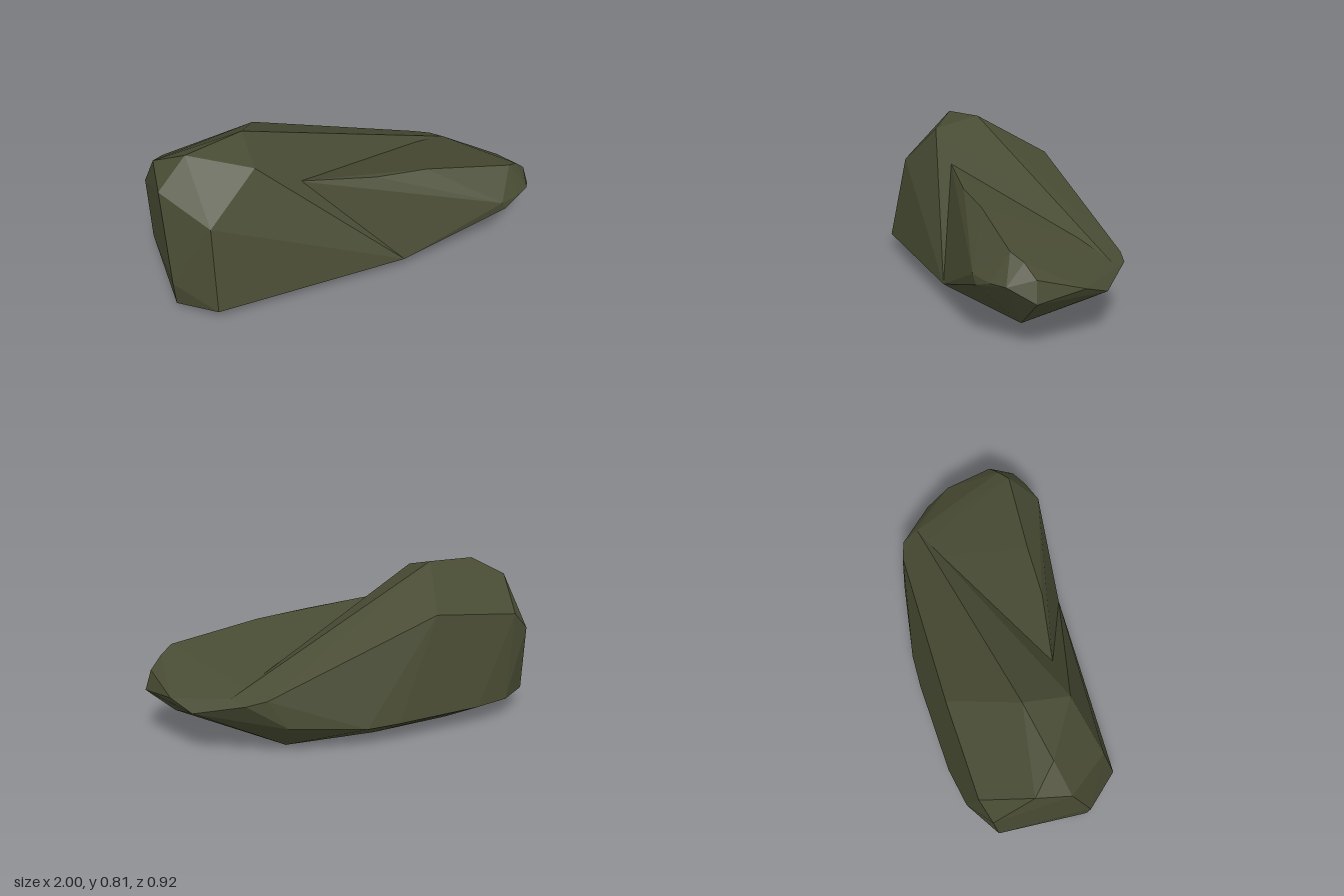
import * as THREE from 'three';
import { ConvexGeometry } from 'three/addons/geometries/ConvexGeometry.js';

const mossyStone = new THREE.MeshStandardMaterial({ color: 0x484b33 });

// faceted lump: the convex skin around a few corner points
function lump(name, corners) {
  const points = corners.map(([x, y, z]) => new THREE.Vector3(x, y, z));
  const mesh = new THREE.Mesh(new ConvexGeometry(points), mossyStone);
  mesh.name = name;
  return mesh;
}

export function createModel() {
  const rock = new THREE.Group();
  rock.name = 'rock';

  // corners common to both lumps
  const shoulder = [-0.32, 0.6, 0.2];
  const backSaddle = [0.74, 0.3, -0.24];
  const backRidgeEnd = [0.6, 0.3, -0.36];
  const underside = [
    [0.45, 0.015, 0.2], [0.45, 0.01, -0.24], [0, 0.03, -0.34],
    [0.18, 0.095, 0.42], [-0.08, 0.1, -0.46], [0.1, 0.1, -0.455], [0.5, 0.15, -0.39],
  ];

  // tall end with its long slope down towards the back
  rock.add(lump('tallLump', [
    shoulder, backSaddle, backRidgeEnd, ...underside,
    // crown
    [-0.52, 0.81, -0.03], [-0.83, 0.79, 0.03], [-0.69, 0.775, 0.1], [-0.54, 0.75, 0.21],
    // back ridge and wall
    [-0.35, 0.61, -0.37], [-0.86, 0.55, -0.35], [-0.57, 0.1, -0.44], [-0.78, 0.1, -0.4],
    // end wall
    [-0.99, 0.65, 0.08], [-0.96, 0.71, -0.1], [-0.97, 0.45, -0.31], [-0.97, 0.1, -0.28],
    [-1, 0.17, 0.21], [-0.99, 0.03, 0.2],
    // front corner
    [-0.81, 0.53, 0.31], [-0.83, 0.08, 0.4],
    // base
    [-0.97, 0, 0.15], [-0.8, 0, 0.295], [-0.5, 0, -0.25], [-0.85, 0.01, -0.2],
  ]));

  // low nose with its ridge along the front
  rock.add(lump('lowLump', [
    shoulder, backSaddle, backRidgeEnd, ...underside,
    // front ridge
    [0.08, 0.555, 0.27], [0.36, 0.53, 0.28], [0.83, 0.445, 0.32], [0.9, 0.41, 0.28],
    // front bulge
    [0.72, 0.325, 0.46], [0.75, 0.28, 0.455], [0.84, 0.31, 0.42], [0.92, 0.31, 0.375],
    // nose
    [0.97, 0.345, 0.25], [1, 0.24, 0.26], [0.96, 0.27, 0], [0.9, 0.22, -0.14],
    [0.7, 0.28, -0.33], [0.84, 0.1, 0.27],
    // base
    [-0.4, 0.01, 0.28], [-0.4, 0.01, -0.2],
  ]));

  return rock;
}
